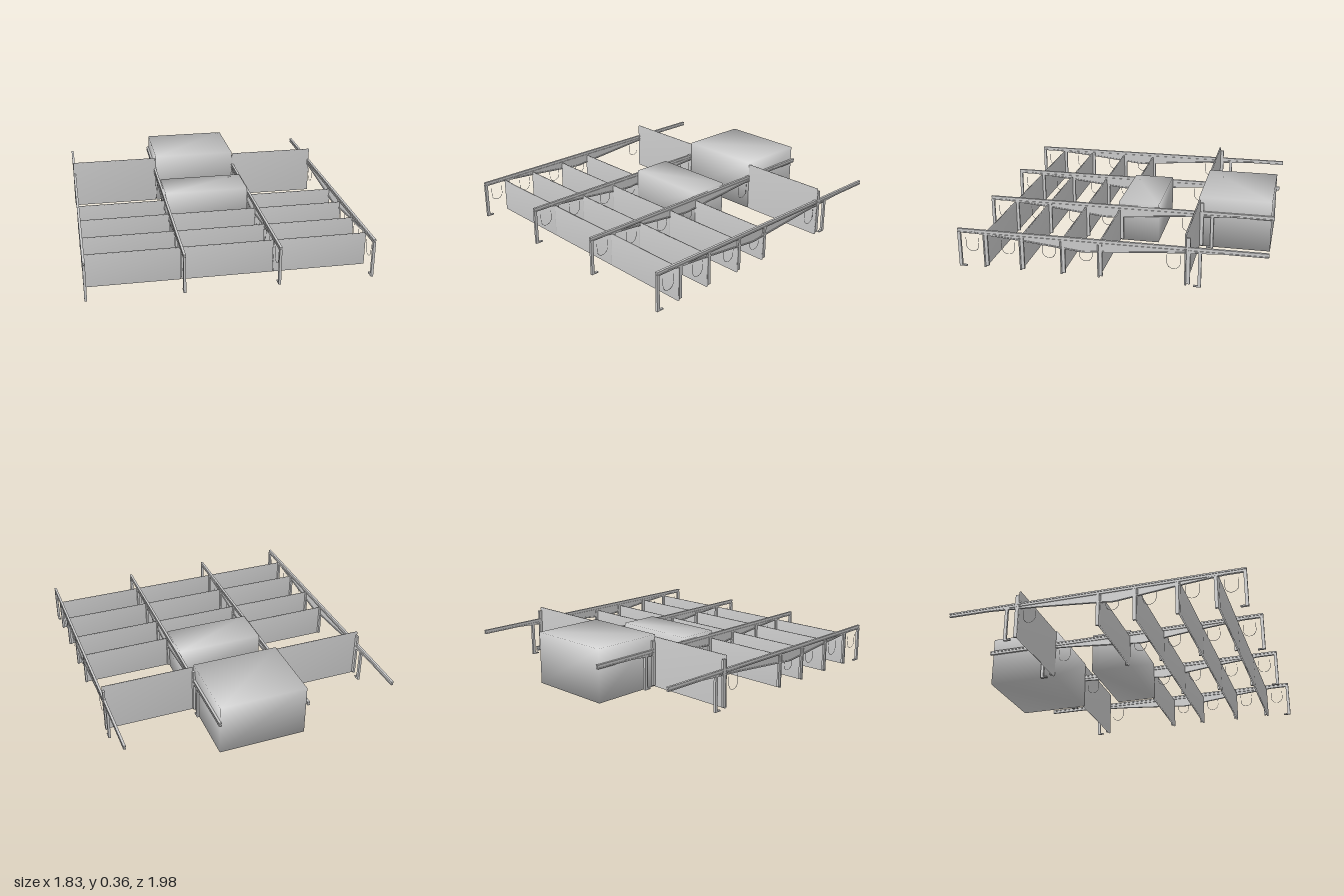
import * as THREE from 'three';
import { mergeVertices } from 'three/addons/utils/BufferGeometryUtils.js';

const grey = new THREE.MeshStandardMaterial({ color: 0xcccccc, side: THREE.DoubleSide });

export function createModel() {
  const model = new THREE.Group();

  const add = (parent, name, geometry) => {
    const mesh = new THREE.Mesh(geometry, grey);
    mesh.name = name;
    parent.add(mesh);
    return mesh;
  };

  // Box given by its limits; soft boxes share normals across their edges
  const box = (parent, name, [x0, x1], [y0, y1], [z0, z1], soft = false) => {
    let g = new THREE.BoxGeometry(x1 - x0, y1 - y0, z1 - z0);
    if (soft) {
      g.deleteAttribute('normal');
      g.deleteAttribute('uv');
      g = mergeVertices(g);
      g.computeVertexNormals();
    }
    g.translate((x0 + x1) / 2, (y0 + y1) / 2, (z0 + z1) / 2);
    return add(parent, name, g);
  };

  // Side outline drawn as (z, y) and extruded along x
  const sidePlate = (parent, name, points, width) => {
    const shape = new THREE.Shape(points.map(([z, y]) => new THREE.Vector2(-z, y)));
    const g = new THREE.ExtrudeGeometry(shape, { depth: width, bevelEnabled: false });
    g.translate(0, 0, -width / 2);
    g.rotateY(Math.PI / 2);
    return add(parent, name, g);
  };

  const beamX = [-0.905, -0.3, 0.3, 0.905];
  const rowZ = [0.82, 0.58, 0.31, 0.07];

  // Belly line of the beams, from front to back
  const belly = [[0.9, 0.236], [0.55, 0.206], [0.19, 0.168], [0.15, 0.166], [0.1, 0.172], [-0.35, 0.21], [-0.75, 0.236]];
  const lowerChord = [...belly, ...belly.map(([z, y]) => [z, y + 0.008]).reverse()];

  // U-shaped wire hook
  const hookGeometry = (z) => {
    const r = 0.042;
    const points = [new THREE.Vector3(0, 0.2, z + r), new THREE.Vector3(0, 0.17, z + r)];
    for (let i = 0; i <= 10; i++) {
      const a = (i / 10) * Math.PI;
      points.push(new THREE.Vector3(0, 0.15 - r * Math.sin(a), z + r * Math.cos(a)));
    }
    points.push(new THREE.Vector3(0, 0.17, z - r), new THREE.Vector3(0, 0.2, z - r));
    return new THREE.TubeGeometry(new THREE.CatmullRomCurve3(points), 32, 0.0015, 5);
  };

  // Four long beams with their legs, brackets and hooks
  for (const x of beamX) {
    const frame = new THREE.Group();
    frame.name = 'beamFrame';
    frame.position.x = x;
    model.add(frame);

    // Channel beam: top and bottom flanges with a narrow web
    box(frame, 'beamTopFlange', [-0.008, 0.008], [0.25, 0.26], [-0.98, 0.995]);
    box(frame, 'beamWeb', [-0.004, 0.004], [0.238, 0.25], [-0.98, 0.995]);
    box(frame, 'beamBottomFlange', [-0.008, 0.008], [0.233, 0.24], [-0.98, 0.995]);
    sidePlate(frame, 'bellyWeb', belly, 0.004);
    sidePlate(frame, 'bellyChord', lowerChord, 0.014);

    // Front leg with its foot
    box(frame, 'frontLeg', [-0.008, 0.008], [0, 0.24], [0.975, 0.995]);
    box(frame, 'frontFoot', [-0.008, 0.008], [0, 0.008], [0.945, 0.98]);

    // Rear leg with its foot
    box(frame, 'rearLeg', [-0.008, 0.008], [0, 0.24], [-0.577, -0.557]);
    box(frame, 'rearFoot', [-0.008, 0.008], [0, 0.008], [-0.557, -0.53]);

    // Hanging brackets behind each row of panels
    for (const z of rowZ) {
      box(frame, 'panelBracket', [-0.007, 0.007], [0.015, 0.24], [z - 0.026, z - 0.005]);
    }
    box(frame, 'tallBracket', [-0.007, 0.007], [0.015, 0.32], [-0.508, -0.484]);

    for (const z of [0.9, 0.66, 0.39, 0.15, -0.405]) add(frame, 'wireHook', hookGeometry(z));
  }

  // Rows of panels, one per bay; the box closes the middle of the last row
  const bays = [[-0.91, -0.3], [-0.295, 0.295], [0.3, 0.91]];
  for (const z of rowZ) {
    bays.forEach((bay, i) => {
      if (z === 0.07 && i === 1) return;
      box(model, 'panel', bay, [0.005, 0.226], [z - 0.006, z + 0.006], true);
    });
  }

  // Tall rear side panels
  for (const bay of [bays[0], bays[2]]) {
    box(model, 'tallPanel', bay, [0.005, 0.342], [-0.485, -0.473], true);
  }

  // Two solid blocks in the middle bay
  box(model, 'lowBlock', [-0.293, 0.293], [0.005, 0.28], [-0.2, 0.078], true);
  box(model, 'tallBlock', [-0.293, 0.293], [0.005, 0.356], [-0.96, -0.473], true);

  return model;
}
